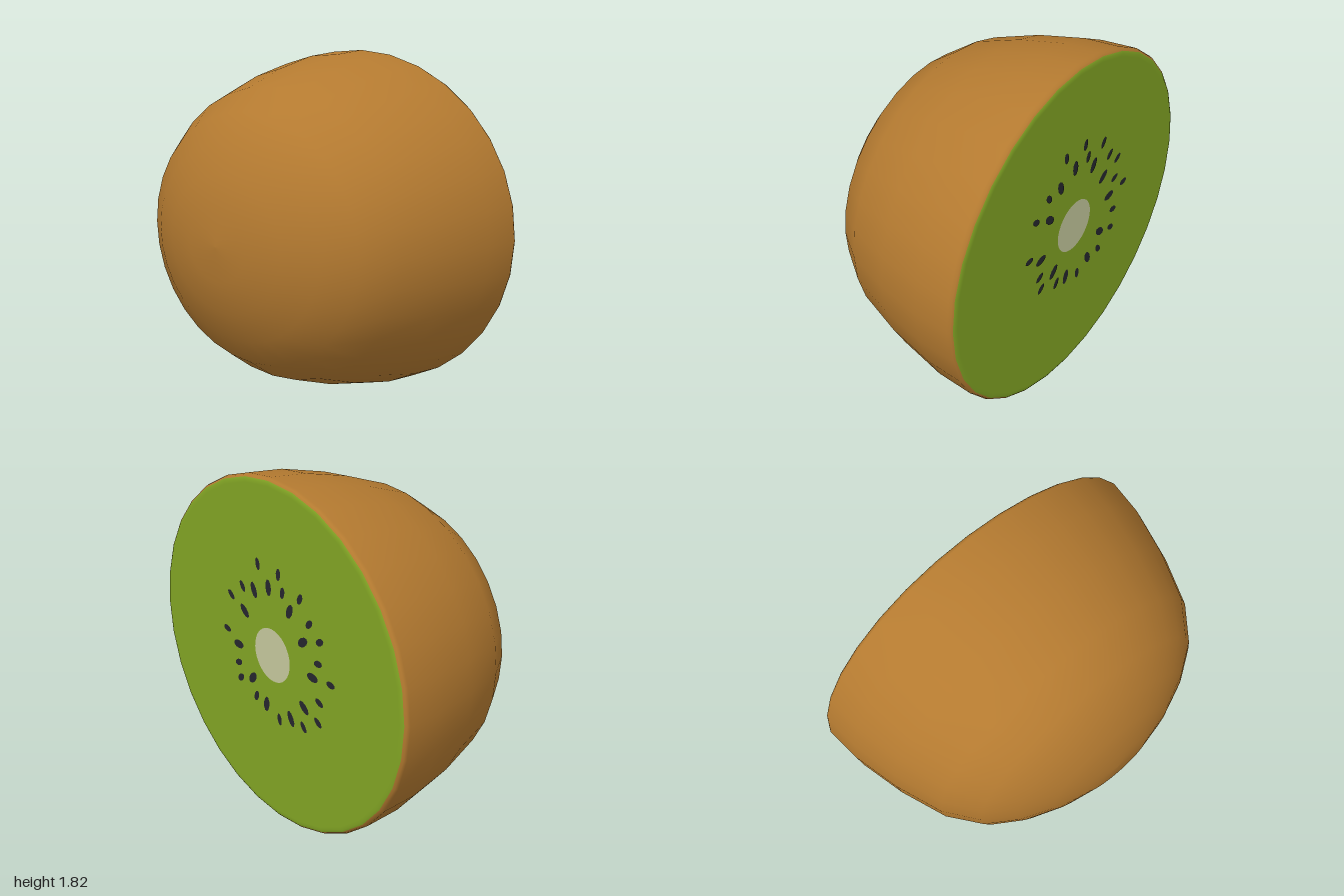
import * as THREE from 'three';

const CENTER_Y = 0.908;
const FACE_Z = -0.562;

const material = (name, color) => {
  const m = new THREE.MeshStandardMaterial({ color });
  m.name = name;
  return m;
};

export function createModel() {
  const skinBrown = material('skin brown', 0xb47a30);
  const fleshGreen = material('flesh green', 0x82a524);
  const coreCream = material('core cream', 0xc6c99e);
  const seedBlack = material('seed black', 0x25262e);

  const group = new THREE.Group();
  group.name = 'halvedFruit';
  const add = (name, geometry, mat) => {
    const mesh = new THREE.Mesh(geometry, mat);
    mesh.name = name;
    group.add(mesh);
    return mesh;
  };

  // Turned shape about the z axis, squashed slightly in height; points are [radius, z]
  const turned = (points) =>
    new THREE.LatheGeometry(points.map(([r, z]) => new THREE.Vector2(r, z)), 32)
      .rotateX(Math.PI / 2)
      .scale(1, 0.908, 1)
      .translate(0, CENTER_Y, 0);

  // Skin: rounded rim at the cut, closing to the front pole
  add('skin', turned([
    [0.984, -0.557], [0.994, -0.55], [1, -0.535], [0.984, -0.34], [0.924, -0.09], [0.832, 0.16],
    [0.708, 0.325], [0.556, 0.43], [0.383, 0.505], [0.195, 0.555], [0, 0.565],
  ]), skinBrown);

  // Cut face with a softly turned edge
  add('flesh', turned([[0, FACE_Z], [0.955, FACE_Z], [0.973, FACE_Z], [0.984, -0.557]]), fleshGreen);

  // Flat elliptical plate on the cut face
  const plate = (name, x, y, halfW, halfH, turn, z, sides, mat) =>
    add(name, new THREE.CircleGeometry(1, sides)
      .scale(halfW, halfH, 1)
      .rotateY(Math.PI)
      .rotateZ(turn)
      .translate(x, CENTER_Y + y, z), mat);

  plate('core', 0, 0.008, 0.147, 0.14, 0, FACE_Z - 0.002, 32, coreCream);

  // Seeds: [x, y] from the face centre, pointing outwards from the core
  const smallSeeds = [
    [0.10, 0.46], [-0.07, 0.45], [0.24, 0.305], [0.345, 0.23], [-0.10, 0.365], [-0.24, 0.375],
    [0.395, 0.03], [0.30, -0.13], [0.285, -0.21], [0.147, -0.265], [-0.05, -0.325],
    [-0.25, -0.29], [-0.368, -0.22], [-0.38, -0.11], [-0.47, 0.015], [-0.375, 0.09],
    [-0.39, 0.205], [-0.31, 0.27],
  ];
  const bigSeeds = [
    [0.14, 0.313], [0.015, 0.36], [-0.155, 0.287], [0.228, 0.176], [0.294, -0.027],
    [0.176, -0.174], [0.06, -0.28], [-0.147, -0.285], [-0.257, -0.182], [-0.33, 0.004],
    [-0.257, 0.162],
  ];
  const sow = (name, seeds, halfW, halfH) => seeds.forEach(([x, y]) =>
    plate(name, x, y, halfW, halfH, Math.atan2(-x, y), FACE_Z - 0.003, 10, seedBlack));
  sow('smallSeed', smallSeeds, 0.018, 0.032);
  sow('bigSeed', bigSeeds, 0.023, 0.043);

  return group;
}
